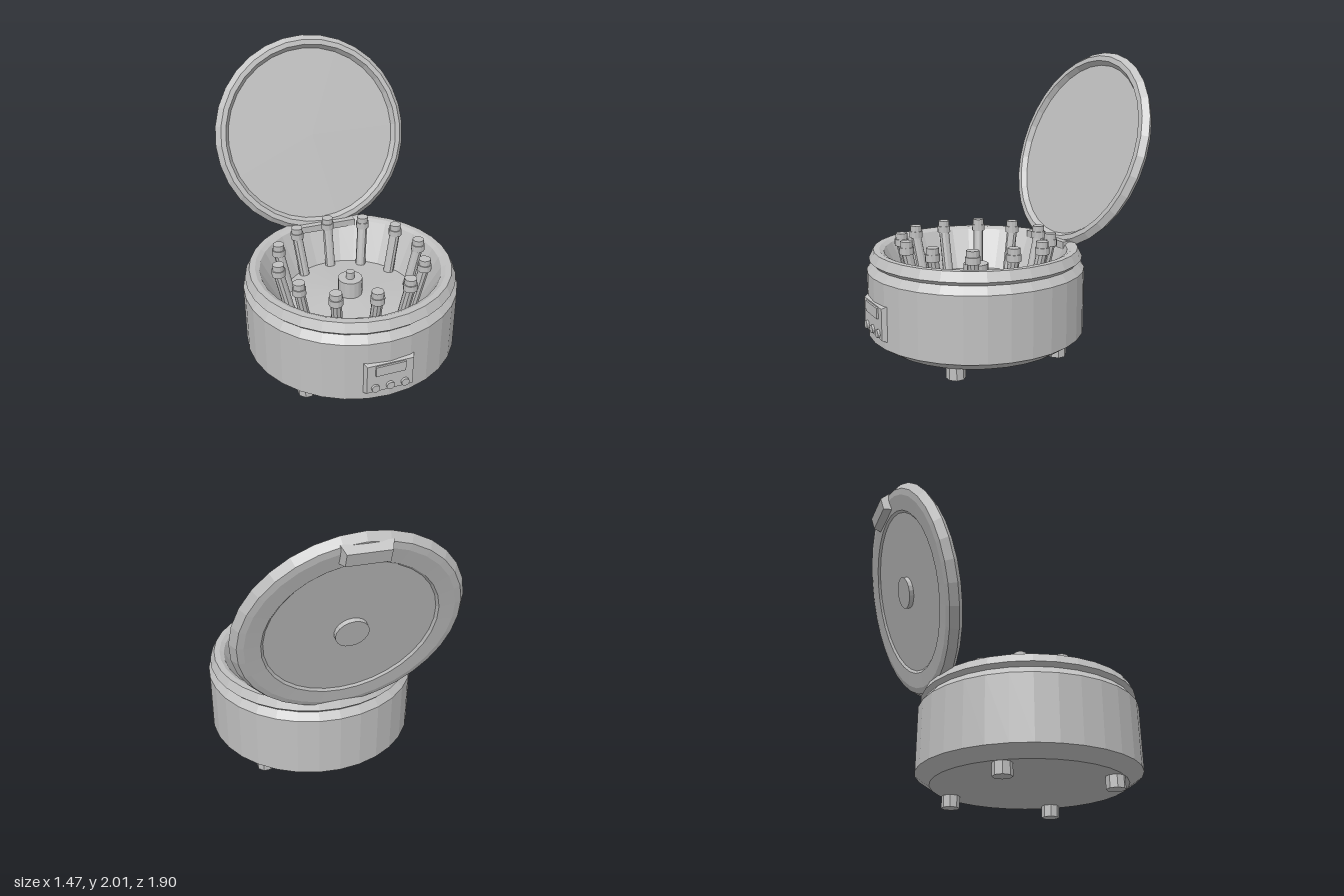
import * as THREE from 'three';

const grey = new THREE.MeshStandardMaterial({ color: 0xc0c0c0, flatShading: true });
grey.name = 'grey plastic';

function add(parent, name, geometry, x = 0, y = 0, z = 0) {
  const mesh = new THREE.Mesh(geometry, grey);
  mesh.name = name;
  mesh.position.set(x, y, z);
  parent.add(mesh);
  return mesh;
}

// Closed profile turned round the y axis, given as [radius, height]
function turned(profile, sides = 32) {
  return new THREE.LatheGeometry(profile.map(([r, y]) => new THREE.Vector2(r, y)), sides);
}

const cylinder = (r, h, sides) => new THREE.CylinderGeometry(r, r, h, sides);

// Box whose upper face is drawn in by an inset on every side
function bevelBox(w, h, d, inset) {
  const g = new THREE.BoxGeometry(w, h, d);
  const p = g.attributes.position;
  for (let i = 0; i < p.count; i++) {
    if (p.getY(i) > 0) {
      p.setX(i, p.getX(i) - Math.sign(p.getX(i)) * inset);
      p.setZ(i, p.getZ(i) - Math.sign(p.getZ(i)) * inset);
    }
  }
  g.computeVertexNormals();
  return g;
}

export function createModel() {
  const model = new THREE.Group();
  model.name = 'openCentrifuge';

  // Base with everything that sits in the bowl
  const base = new THREE.Group();
  base.name = 'base';
  base.position.z = 0.19;
  model.add(base);

  // Outer shell, rim and inner bowl in one profile
  add(base, 'housing', turned([
    [0, 0.08], [0.64, 0.08], [0.735, 0.145], [0.735, 0.57], [0.695, 0.62],
    [0.72, 0.645], [0.69, 0.705], [0.65, 0.705], [0.62, 0.69],
    [0.48, 0.42], [0.085, 0.46], [0, 0.46],
  ]));

  // Rotor hub
  add(base, 'hub', cylinder(0.085, 0.15, 16), 0, 0.505, 0);
  add(base, 'hubKnob', cylinder(0.03, 0.06, 12), 0, 0.6, 0);

  // Ring of twelve capped tubes leaning outward
  for (let i = 0; i < 12; i++) {
    const holder = new THREE.Group();
    holder.name = 'tube';
    holder.rotation.y = (i * Math.PI) / 6;
    base.add(holder);
    const stem = cylinder(0.037, 0.32, 10);
    const p = stem.attributes.position;
    for (let k = 0; k < p.count; k++) p.setX(k, p.getX(k) + (p.getY(k) > 0 ? 0.505 : 0.435));
    stem.computeVertexNormals();
    add(holder, 'tubeStem', stem, 0, 0.56, 0);
    add(holder, 'tubeCollar', cylinder(0.047, 0.045, 12), 0.505, 0.728, 0);
    add(holder, 'tubeCap', cylinder(0.04, 0.04, 12), 0.505, 0.77, 0);
  }

  // Feet
  for (const x of [-0.44, 0.44]) {
    for (const z of [-0.375, 0.375]) {
      add(base, 'foot', cylinder(0.062, 0.1, 8).rotateY(Math.PI / 8), x, 0.05, z);
    }
  }

  // Control panel with display and three buttons
  const panel = new THREE.Group();
  panel.name = 'controlPanel';
  model.add(panel);
  add(panel, 'panelPlate', bevelBox(0.36, 0.06, 0.255, 0.025).rotateX(Math.PI / 2), 0, 0.313, 0.905);
  add(panel, 'display', new THREE.BoxGeometry(0.2, 0.07, 0.03), 0, 0.373, 0.932);
  for (const x of [-0.1, 0, 0.1]) {
    add(panel, 'button', cylinder(0.027, 0.03, 12).rotateX(Math.PI / 2), x, 0.243, 0.936);
  }

  // Hinge under the lid
  add(model, 'hinge', new THREE.BoxGeometry(0.47, 0.05, 0.085), 0, 0.685, -0.41);

  // Open lid: its local y axis points out of the inner face
  const lid = new THREE.Group();
  lid.name = 'lid';
  lid.position.set(0, 1.325, -0.65);
  lid.rotation.x = THREE.MathUtils.degToRad(72);
  model.add(lid);
  add(lid, 'lidShell', turned([
    [0, -0.037], [0.53, -0.037], [0.545, -0.05], [0.645, -0.055], [0.685, -0.048],
    [0.72, 0], [0.685, 0.037], [0.65, 0.037], [0.626, 0], [0, 0],
  ]));
  add(lid, 'lidKnob', cylinder(0.105, 0.04, 20), 0, -0.047, 0);
  add(lid, 'latch', bevelBox(0.3, 0.06, 0.125, 0.022).rotateX(Math.PI), 0, -0.07, -0.617);

  return model;
}
